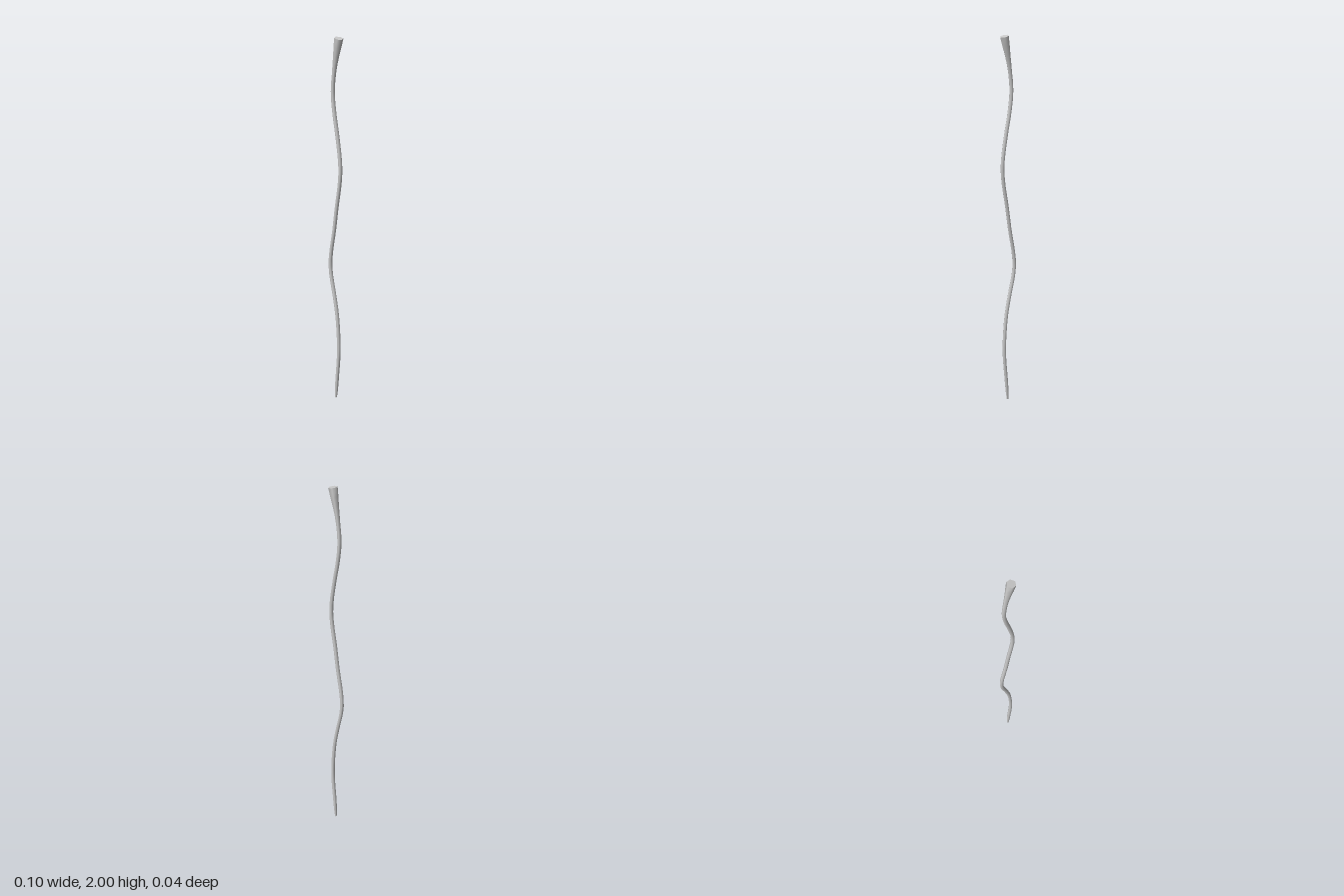
import * as THREE from 'three';

const SIDES = 6;
const RINGS = 44;

// Wavy centre line, bottom to top: [x, y]
const PATH = [
  [0.005, 0], [0.012, 0.1], [0.027, 0.3], [0.014, 0.5], [-0.005, 0.6],
  [-0.04, 0.78], [-0.008, 1.0], [0.006, 1.1], [0.037, 1.32], [0.014, 1.5],
  [-0.006, 1.6], [-0.02, 1.72], [-0.006, 1.85], [0.012, 1.94], [0.0235, 1.995],
];

// Radius by height: pointed foot, even stem, flared head
const RADII = [[0, 0.005], [0.06, 0.0095], [0.2, 0.01], [1.83, 0.0105], [1.9, 0.015], [1.96, 0.021], [2, 0.0235]];

function radiusAt(y) {
  for (let i = 1; i < RADII.length; i++) {
    const [y0, r0] = RADII[i - 1], [y1, r1] = RADII[i];
    if (y <= y1) return THREE.MathUtils.mapLinear(Math.max(y, y0), y0, y1, r0, r1);
  }
  return RADII[RADII.length - 1][1];
}

// Six-sided ring square to the centre line, corners on the x side
function ring(curve, t) {
  const p = curve.getPointAt(t);
  const d = curve.getTangentAt(t);
  const r = radiusAt(p.y);
  return Array.from({ length: SIDES }, (_, k) => {
    const a = (k / SIDES) * Math.PI * 2;
    const u = Math.cos(a) * r;
    return [p.x + d.y * u, p.y - d.x * u, Math.sin(a) * r];
  });
}

function buildGeometry(points, index) {
  const geo = new THREE.BufferGeometry();
  geo.setAttribute('position', new THREE.Float32BufferAttribute(points.flat(), 3));
  geo.setIndex(index);
  geo.computeVertexNormals();
  return geo;
}

function capGeometry(points, up) {
  const index = [];
  for (let k = 1; k < SIDES - 1; k++) index.push(0, ...(up ? [k + 1, k] : [k, k + 1]));
  return buildGeometry(points, index);
}

export function createModel() {
  const group = new THREE.Group();
  group.name = 'wavyStalk';
  const material = new THREE.MeshStandardMaterial({ color: 0xcccccc });
  const curve = new THREE.CatmullRomCurve3(PATH.map(([x, y]) => new THREE.Vector3(x, y, 0)));

  const rings = [];
  for (let i = 0; i <= RINGS; i++) rings.push(ring(curve, i / RINGS));

  // Smooth skin between the rings
  const index = [];
  for (let i = 0; i < RINGS; i++) {
    for (let k = 0; k < SIDES; k++) {
      const a = i * SIDES + k, b = i * SIDES + ((k + 1) % SIDES);
      index.push(a, a + SIDES, b, b, a + SIDES, b + SIDES);
    }
  }

  const add = (name, geo) => {
    const mesh = new THREE.Mesh(geo, material);
    mesh.name = name;
    group.add(mesh);
  };
  add('stem', buildGeometry(rings.flat(), index));
  // Flat end faces
  add('headCap', capGeometry(rings[RINGS], true));
  add('footCap', capGeometry(rings[0], false));
  return group;
}
